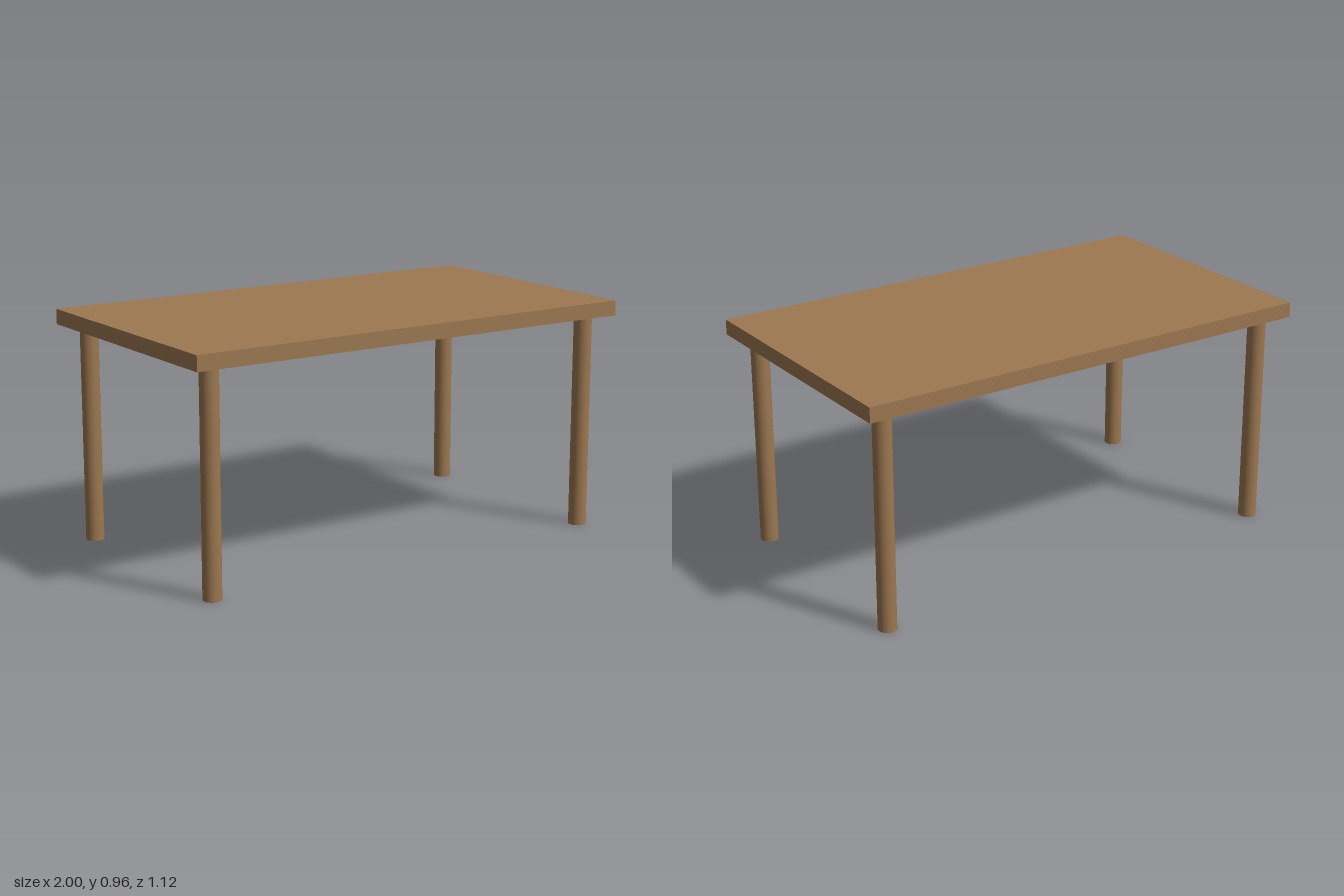
import * as THREE from 'three';

export function createModel() {
  const group = new THREE.Group();
  group.name = 'table';
  const wood = new THREE.MeshStandardMaterial({ color: 0x9c7850 });

  const legHeight = 0.9;
  const topThickness = 0.0625;

  // Flat rectangular top
  const top = new THREE.Mesh(new THREE.BoxGeometry(2, topThickness, 1.125), wood);
  top.name = 'tableTop';
  top.position.y = legHeight + topThickness / 2;
  group.add(top);

  // Four round legs, inset from the corners
  const legGeometry = new THREE.CylinderGeometry(0.0375, 0.0375, legHeight, 32);
  for (const [endName, z] of [['front', 0.475], ['back', -0.475]]) {
    for (const [sideName, x] of [['Left', 0.9], ['Right', -0.9]]) {
      const leg = new THREE.Mesh(legGeometry, wood);
      leg.name = `${endName}${sideName}Leg`;
      leg.position.set(x, legHeight / 2, z);
      group.add(leg);
    }
  }

  return group;
}
